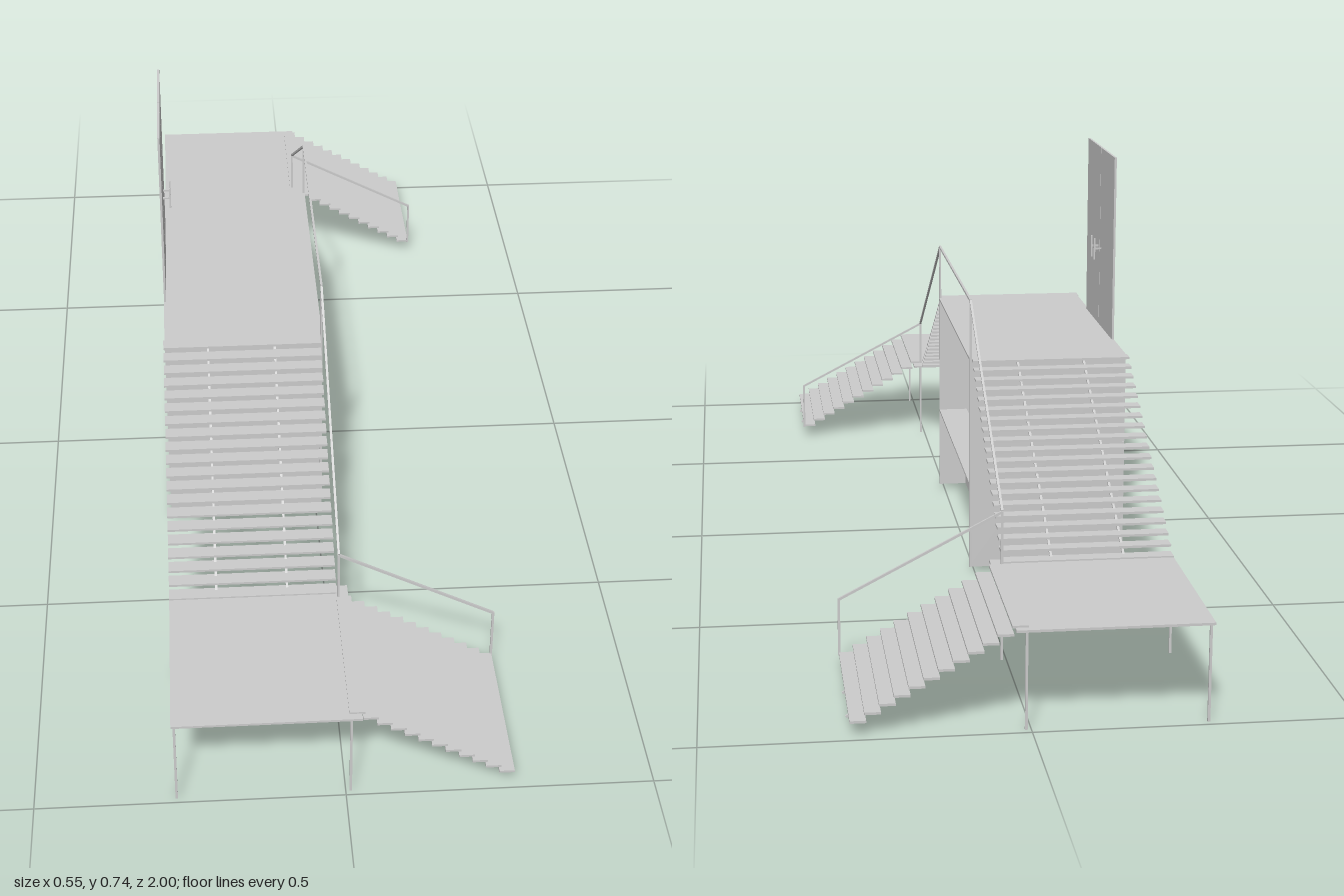
import * as THREE from 'three';

const material = new THREE.MeshStandardMaterial({ color: 0xcccccc, side: THREE.DoubleSide });
const T = 0.004; // sheet and bar thickness

// Box given by its min and max on each axis
function slab(parent, name, [x0, x1], [y0, y1], [z0, z1]) {
  const mesh = new THREE.Mesh(new THREE.BoxGeometry(x1 - x0, y1 - y0, z1 - z0), material);
  mesh.position.set((x0 + x1) / 2, (y0 + y1) / 2, (z0 + z1) / 2);
  mesh.name = name;
  parent.add(mesh);
}

// Square bar between two points
function bar(parent, name, a, b, size = T) {
  const p = new THREE.Vector3(...a), q = new THREE.Vector3(...b);
  const mesh = new THREE.Mesh(new THREE.BoxGeometry(size, size, p.distanceTo(q)), material);
  mesh.position.copy(p).add(q).multiplyScalar(0.5);
  mesh.lookAt(q);
  mesh.name = name;
  parent.add(mesh);
}

// Open-fronted booth with a counter
function createBooth() {
  const g = new THREE.Group();
  g.name = 'booth';
  const back = -0.275, front = 0.01, half = 0.266, top = 0.405;
  slab(g, 'roof', [back, front], [top - T, top], [-half, half]);
  slab(g, 'backWallLower', [back, back + T], [0.011, 0.2395], [-half, half]);
  slab(g, 'backWallUpper', [back, back + T], [0.2405, top - T], [-half, half]);
  for (const s of [-1, 1]) {
    const z = s * (half - T / 2);
    slab(g, 'sideWall', [back + T, front], [0.011, top - T], [z - T / 2, z + T / 2]);
  }
  slab(g, 'counterTop', [-0.046, front], [0.167, 0.171], [-half + T, half - T]);
  slab(g, 'counterPanel', [-0.048, -0.044], [0.011, 0.167], [-half + T, half - T]);
  return g;
}

// Double door standing on the roof, with pull handles
function createDoor() {
  const g = new THREE.Group();
  g.name = 'doubleDoor';
  const mid = -0.007;
  for (const s of [-1, 1]) {
    const z = [mid + s * 0.001, mid + s * 0.14].sort((a, b) => a - b);
    slab(g, 'doorLeaf', [-0.275, -0.271], [0.405, 0.746], z);
    const hz = mid + s * 0.015;
    bar(g, 'handleStem', [-0.272, 0.555, hz], [-0.258, 0.555, hz], 0.003);
    bar(g, 'handleGrip', [-0.258, 0.534, hz], [-0.258, 0.575, hz], 0.003);
  }
  return g;
}

// Upper flight, landing, lower flight and handrail on the +z side
function createStairs() {
  const g = new THREE.Group();
  g.name = 'stairs';

  // upper flight descends along z
  for (let i = 0; i < 20; i++) {
    const y = 0.403 - i * 0.01255, z = 0.277 + i * 0.0214;
    slab(g, 'upperTread', [-0.277, 0.006], [y - 0.002, y + 0.002], [z - 0.0125, z + 0.0125]);
  }
  for (const x of [-0.197, -0.077]) bar(g, 'upperStringer', [x, 0.397, 0.268], [x, 0.157, 0.69]);

  // landing on four legs
  slab(g, 'landing', [-0.277, 0.025], [0.160, 0.164], [0.675, 1]);
  for (const x of [-0.272, 0.008])
    for (const z of [0.706, 0.99]) bar(g, 'landingLeg', [x, 0.002, z], [x, 0.161, z]);

  // lower flight descends along x
  for (let i = 0; i < 12; i++) {
    const y = 0.165 - i * 0.01275, x = 0.017 + i * 0.0222;
    slab(g, 'lowerTread', [x - 0.0125, x + 0.0125], [y - 0.002, y + 0.002], [0.706, 0.988]);
  }
  for (const z of [0.82, 0.914]) bar(g, 'lowerStringer', [0, 0.16, z], [0.275, 0.003, z]);

  // handrail along the inner edge
  const rx = 0.008, rz = 0.706, bz = 0.266;
  bar(g, 'topPost', [rx, 0.011, bz], [rx, 0.513, bz]);
  bar(g, 'upperRail', [rx, 0.511, bz], [rx, 0.256, rz]);
  bar(g, 'landingPost', [rx, 0.16, rz], [rx, 0.256, rz]);
  bar(g, 'lowerRail', [rx, 0.255, rz], [0.273, 0.117, rz]);
  bar(g, 'bottomPost', [0.273, 0.022, rz], [0.273, 0.119, rz]);
  return g;
}

export function createModel() {
  const model = new THREE.Group();
  model.name = 'boothWithStairs';
  model.add(createBooth(), createDoor());
  bar(model, 'roofRail', [0.008, 0.511, -0.266], [0.008, 0.511, 0.266]);
  const front = createStairs();
  front.name = 'frontStairs';
  // second staircase mirrored in z
  const rear = createStairs();
  rear.name = 'rearStairs';
  rear.scale.z = -1;
  model.add(front, rear);
  return model;
}
